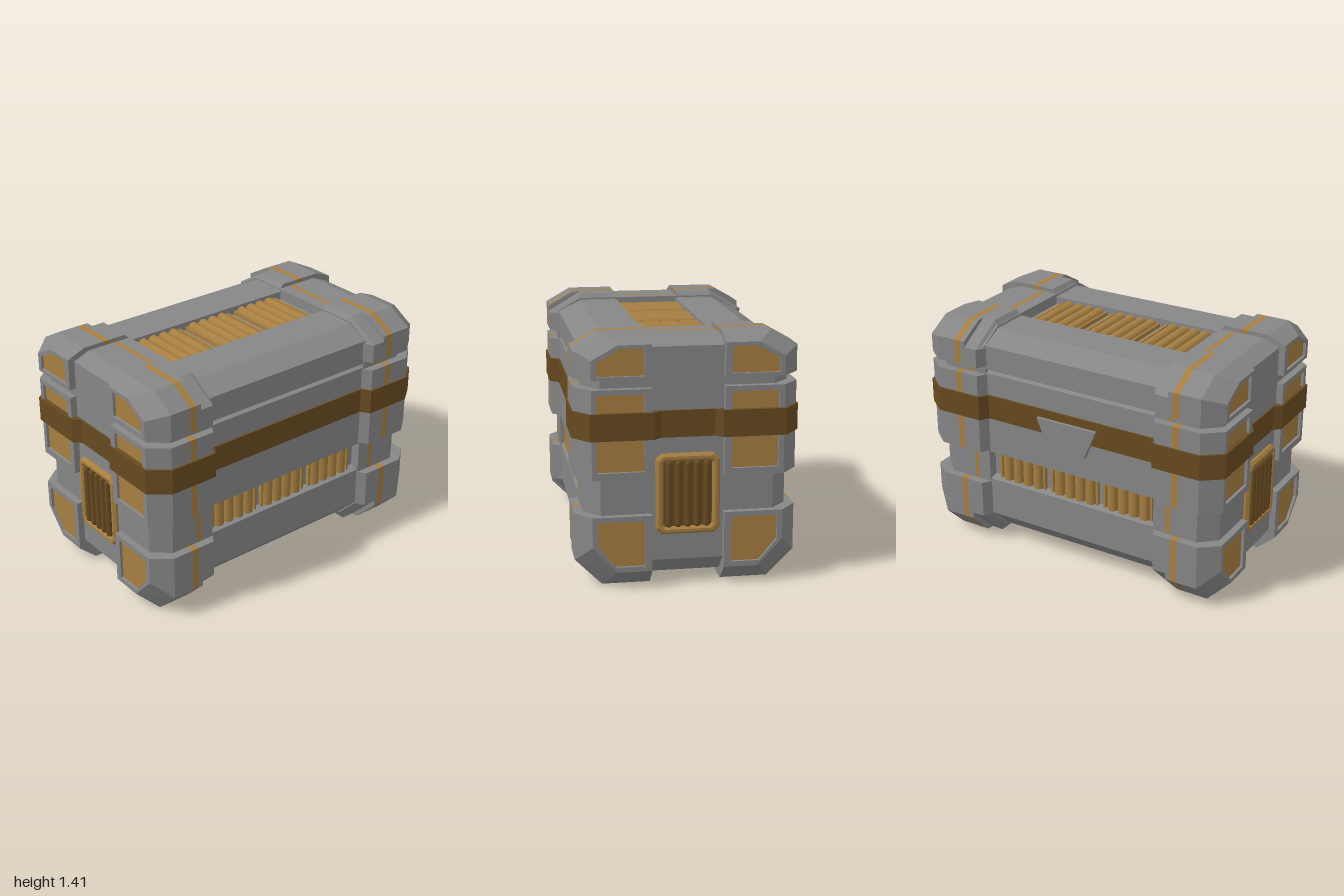
import * as THREE from 'three';

const mat = (name, color, side = THREE.FrontSide) => {
  const m = new THREE.MeshStandardMaterial({ color, side });
  m.name = name;
  return m;
};

// Skin a row of rings; each ring is { x, p: [[y, z], ...] } counter-clockwise seen from +x.
function loft(rings, sx, sz, capStart = false, capEnd = false) {
  const pos = [];
  const flip = sx * sz < 0;
  const tri = (a, b, c) => {
    for (const v of flip ? [a, c, b] : [a, b, c]) pos.push(v[0] * sx, v[1], v[2] * sz);
  };
  const pts = rings.map(r => r.p.map(([y, z]) => [r.x, y, z]));
  for (let k = 0; k < pts.length - 1; k++) {
    const a = pts[k], b = pts[k + 1], n = a.length;
    for (let i = 0; i < n; i++) {
      const j = (i + 1) % n;
      tri(a[i], a[j], b[j]);
      tri(a[i], b[j], b[i]);
    }
  }
  const first = pts[0], last = pts[pts.length - 1];
  for (let i = 1; i < first.length - 1; i++) {
    if (capStart) tri(first[0], first[i + 1], first[i]);
    if (capEnd) tri(last[0], last[i], last[i + 1]);
  }
  const g = new THREE.BufferGeometry();
  g.setAttribute('position', new THREE.Float32BufferAttribute(pos, 3));
  g.computeVertexNormals();
  return g;
}

const toShape = pts => new THREE.Shape(pts.map(p => new THREE.Vector2(p[0], p[1])));
const octagon = (w, y0, y1, c) => [
  [-w + c, y0], [w - c, y0], [w, y0 + c], [w, y1 - c],
  [w - c, y1], [-w + c, y1], [-w, y1 - c], [-w, y0 + c]];

// Corner guard outlines as [y, z]: full, deeper inner chamfer, end face, inset panel
const GUARDS = {
  lower: {
    full: [[0, 0.2], [0.42, 0.2], [0.42, 0.62], [0.15, 0.62], [0, 0.47]],
    deep: [[0, 0.2], [0.42, 0.2], [0.42, 0.62], [0.19, 0.62], [0, 0.43]],
    end: [[0.1, 0.2], [0.42, 0.2], [0.42, 0.53], [0.25, 0.53], [0.1, 0.39]],
    panel: [[0.13, 0.24], [0.39, 0.24], [0.39, 0.5], [0.25, 0.5], [0.13, 0.4]],
  },
  middle: {
    full: [[0.63, 0.2], [1.13, 0.2], [1.13, 0.62], [0.63, 0.62]],
    deep: [[0.63, 0.2], [1.13, 0.2], [1.13, 0.62], [0.63, 0.62]],
    end: [[0.63, 0.2], [1.13, 0.2], [1.13, 0.53], [0.63, 0.53]],
    panel: [[0.67, 0.24], [1.1, 0.24], [1.1, 0.5], [0.67, 0.5]],
  },
  upper: {
    full: [[1.18, 0.2], [1.415, 0.2], [1.415, 0.47], [1.33, 0.62], [1.18, 0.62]],
    deep: [[1.18, 0.2], [1.415, 0.2], [1.415, 0.42], [1.295, 0.62], [1.18, 0.62]],
    end: [[1.18, 0.2], [1.37, 0.2], [1.37, 0.385], [1.29, 0.53], [1.18, 0.53]],
    panel: [[1.2, 0.24], [1.35, 0.24], [1.35, 0.37], [1.28, 0.5], [1.2, 0.5]],
  },
};

export function createModel() {
  const model = new THREE.Group();
  model.name = 'crate';
  const grey = mat('grey metal', 0x868686);
  const ochre = mat('ochre', 0xa67e41);
  const brown = mat('dark brown', 0x674a20);
  const add = (name, geo, material, parent = model) => {
    const m = new THREE.Mesh(geo, material);
    m.name = name;
    parent.add(m);
    return m;
  };

  // Middle of the body: profile with grille channels and a lid seam
  const half = [
    [0.19, 0.11], [0.19, 0.06], [0.42, 0.06], [0.565, 0.2], [0.565, 0.435], [0.51, 0.45],
    [0.51, 0.605], [0.565, 0.62], [0.565, 1.137], [0.54, 1.147], [0.54, 1.153], [0.565, 1.163],
    [0.565, 1.31], [0.43, 1.375], [0.19, 1.375], [0.19, 1.325]];
  const profile = [...half, ...half.map(([z, y]) => [-z, y]).reverse()];
  const body = new THREE.ExtrudeGeometry(toShape(profile), { depth: 1.16, bevelEnabled: false });
  body.translate(0, 0, -0.58).rotateY(Math.PI / 2);
  add('body', body, grey);

  // Rod grilles in the four channels
  const grilles = new THREE.Group();
  grilles.name = 'grilles';
  model.add(grilles);
  for (const cx of [-0.38, -0.015, 0.355]) {
    for (let i = 0; i < 4; i++) {
      const x = cx + (i - 1.5) * 0.072;
      for (const s of [-1, 1]) {
        const upright = new THREE.CylinderGeometry(0.034, 0.034, 0.165, 12);
        add('uprightRod', upright.translate(x, 0.528, s * 0.517), ochre, grilles);
        const flat = new THREE.CylinderGeometry(0.034, 0.034, 0.37, 12);
        add('flatRod', flat.rotateX(Math.PI / 2).translate(x, 0.7175 + s * 0.6145, 0), ochre, grilles);
      }
    }
    // Thin strips closing each set of rods
    for (const e of [-0.156, 0.156]) {
      for (const s of [-1, 1]) {
        add('grilleEdge', new THREE.BoxGeometry(0.014, 0.165, 0.03).translate(cx + e, 0.528, s * 0.52), ochre, grilles);
        add('grilleEdge', new THREE.BoxGeometry(0.014, 0.03, 0.37).translate(cx + e, 0.7175 + s * 0.617, 0), ochre, grilles);
      }
    }
  }

  // Recessed end sections with a stripe running round them
  const core = [[0.05, -0.42], [0.19, -0.57], [1.31, -0.57], [1.39, -0.43],
    [1.39, 0.43], [1.31, 0.57], [0.19, 0.57], [0.05, 0.42]];
  const coreEnd = [[0.15, -0.38], [0.22, -0.48], [1.28, -0.48], [1.35, -0.38],
    [1.35, 0.38], [1.28, 0.48], [0.22, 0.48], [0.15, 0.38]];
  for (const sx of [-1, 1]) {
    const end = new THREE.Group();
    end.name = sx > 0 ? 'leftEnd' : 'rightEnd';
    model.add(end);
    const c = x => ({ x, p: core });
    add('endInner', loft([c(0.57), c(0.65)], sx, 1, true), grey, end);
    add('endStripe', loft([c(0.65), c(0.68)], sx, 1), ochre, end);
    add('endOuter', loft([c(0.68), c(0.85), { x: 0.95, p: coreEnd }], sx, 1, false, true), grey, end);

    // Corner guards with stripe and inset panel
    for (const sz of [-1, 1]) {
      for (const [name, g] of Object.entries(GUARDS)) {
        const guard = new THREE.Group();
        guard.name = name + 'CornerGuard';
        end.add(guard);
        const root = g.deep.map(([y, z]) =>
          [THREE.MathUtils.clamp(y, 0.055, 1.375), Math.min(z, 0.565)]);
        const r = (x, p = g.full) => ({ x, p });
        add('guardInner', loft([r(0.565, root), r(0.6, g.deep), r(0.68, g.deep),
          r(0.681), r(0.71)], sx, sz, true), grey, guard);
        add('guardStripe', loft([r(0.71), r(0.75)], sx, sz), ochre, guard);
        add('guardOuter', loft([r(0.75), r(0.88), r(0.99, g.end), r(0.99, g.panel),
          r(0.972, g.panel)], sx, sz), grey, guard);
        add('guardPanel', loft([r(0.971, g.panel), r(0.973, g.panel)], sx, sz, false, true), ochre, guard);
      }
    }

    // End vent: bevelled frame, backing and upright bars
    const vent = new THREE.Group();
    vent.name = 'endVent';
    end.add(vent);
    const frameShape = toShape(octagon(0.165, 0.315, 0.745, 0.025));
    frameShape.holes.push(toShape(octagon(0.15, 0.33, 0.73, 0.02).reverse()));
    const frame = new THREE.ExtrudeGeometry(frameShape, {
      depth: 0.02, bevelEnabled: true, bevelThickness: 0.015, bevelSize: 0.014, bevelSegments: 1 });
    frame.translate(0, 0, 0.943).rotateY(sx * Math.PI / 2);
    add('ventFrame', frame, ochre, vent);
    add('ventBacking', new THREE.BoxGeometry(0.008, 0.41, 0.29).translate(sx * 0.952, 0.53, 0), brown, vent);
    for (let i = -2; i <= 2; i++) {
      const bar = new THREE.CapsuleGeometry(0.02, 0.34, 3, 10);
      add('ventBar', bar.translate(sx * 0.967, 0.53, i * 0.053), brown, vent);
    }
  }

  // Strap following the outline of the body and guards
  const quarter = [[0.555, 0.575], [0.59, 0.63], [0.885, 0.63], [1, 0.54], [1, 0.19], [0.96, 0.15]];
  const right = [...quarter, ...quarter.map(([x, z]) => [x, -z]).reverse()];
  const outline = [...right, ...right.map(([x, z]) => [-x, z]).reverse()];
  const strap = new THREE.ExtrudeGeometry(toShape(outline), { depth: 0.15, bevelEnabled: false });
  strap.rotateX(-Math.PI / 2).translate(0, 0.85, 0);
  add('strap', strap, brown);

  // Tapered plate on the back
  const plate = new THREE.ExtrudeGeometry(
    toShape([[-0.12, 0.76], [0.12, 0.76], [0.2, 0.95], [-0.2, 0.95]]), { depth: 0.035, bevelEnabled: false });
  add('backPlate', plate.translate(0, 0, -0.595), grey);

  return model;
}
